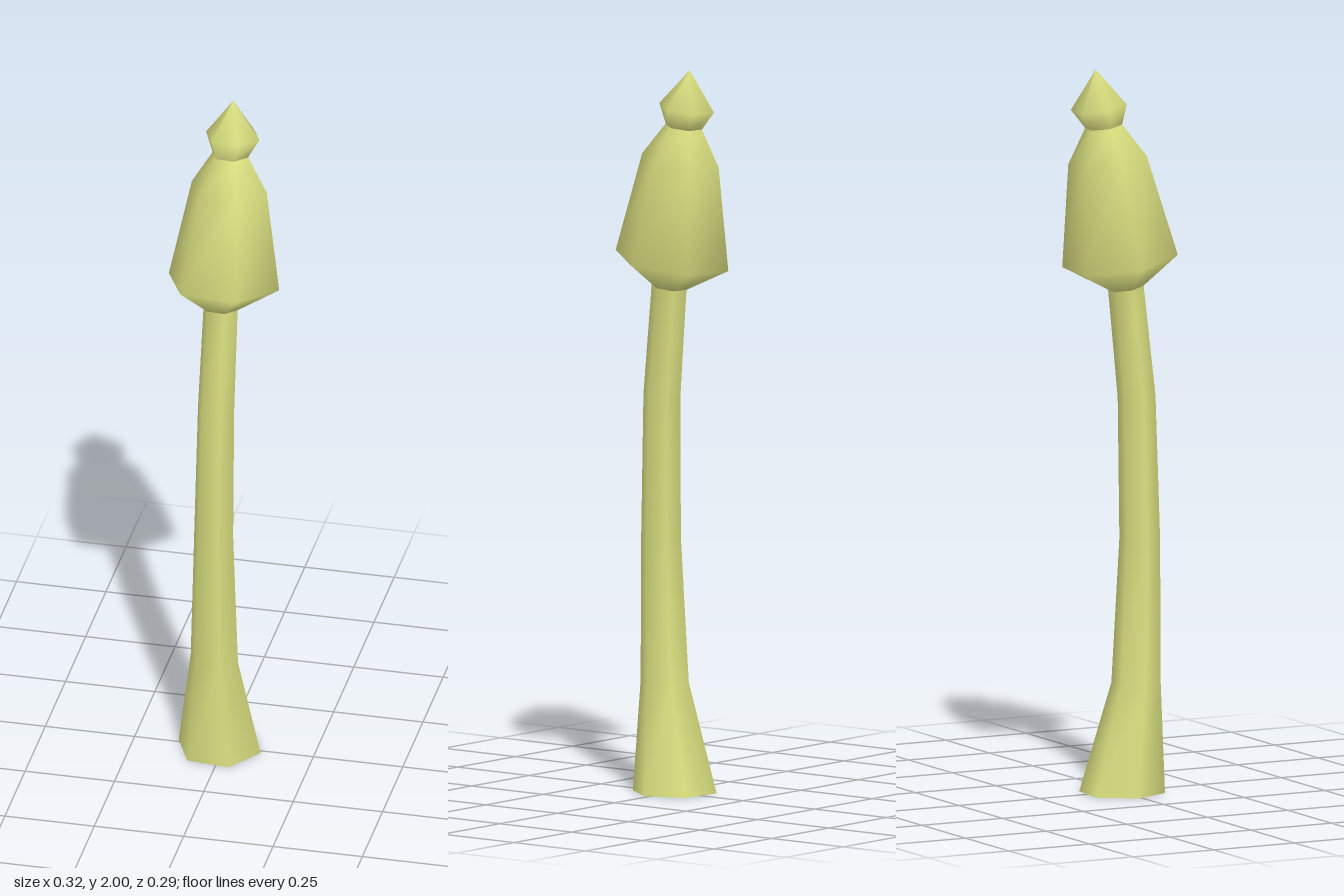
import * as THREE from 'three';

const SIDES = 6;
const TURN = THREE.MathUtils.degToRad(6);

// Smooth six-sided loft; each ring is [x, y, z, radius, forward tilt]
function loft(rings) {
  const positions = [];
  const index = [];
  for (const [x, y, z, r, tilt] of rings) {
    for (let i = 0; i < SIDES; i++) {
      const a = TURN + (i / SIDES) * Math.PI * 2;
      const dz = Math.sin(a) * r;
      positions.push(x + Math.cos(a) * r, y + tilt * dz, z + dz);
    }
  }
  for (let k = 0; k < rings.length - 1; k++) {
    for (let i = 0; i < SIDES; i++) {
      const j = (i + 1) % SIDES;
      const a = k * SIDES + i, b = k * SIDES + j;
      const c = a + SIDES, d = b + SIDES;
      index.push(a, c, b);
      if (rings[k + 1][3] > 0) index.push(b, c, d);
    }
  }
  const geometry = new THREE.BufferGeometry();
  geometry.setAttribute('position', new THREE.Float32BufferAttribute(positions, 3));
  geometry.setIndex(index);
  geometry.computeVertexNormals();
  return geometry;
}

export function createModel() {
  const group = new THREE.Group();
  group.name = 'mushroom';
  const paleGreen = new THREE.MeshStandardMaterial({ color: 0xd9de7f });
  paleGreen.name = 'paleGreen';

  const add = (name, geometry) => {
    const mesh = new THREE.Mesh(geometry, paleGreen);
    mesh.name = name;
    group.add(mesh);
    return mesh;
  };

  // Curved stem, flared at the foot
  add('stem', loft([
    [-0.012, 0, 0, 0.118, 0],
    [-0.018, 0.3, 0.04, 0.068, 0],
    [-0.017, 0.7, 0.052, 0.056, 0.03],
    [-0.012, 1.09, 0.045, 0.052, 0.1],
    [-0.006, 1.393, 0.015, 0.049, 0.16],
  ]));

  // Flat underside of the foot
  const foot = add('stemBase', new THREE.CircleGeometry(0.118, SIDES, -TURN));
  foot.rotation.x = Math.PI / 2;
  foot.rotation.z = 2 * TURN;
  foot.position.set(-0.012, 0, 0);

  // Bell-shaped cap leaning back
  add('cap', loft([
    [-0.006, 1.393, 0.015, 0.049, 0.16],
    [0, 1.467, 0, 0.159, 0.16],
    [0.007, 1.747, -0.035, 0.108, 0.16],
    [0.007, 1.842, -0.047, 0.051, 0.14],
  ]));

  // Pointed knob on top
  add('knob', loft([
    [0.007, 1.842, -0.047, 0.051, 0.14],
    [0.011, 1.895, -0.06, 0.077, 0.15],
    [0.01, 2, -0.07, 0, 0],
  ]));

  return group;
}
